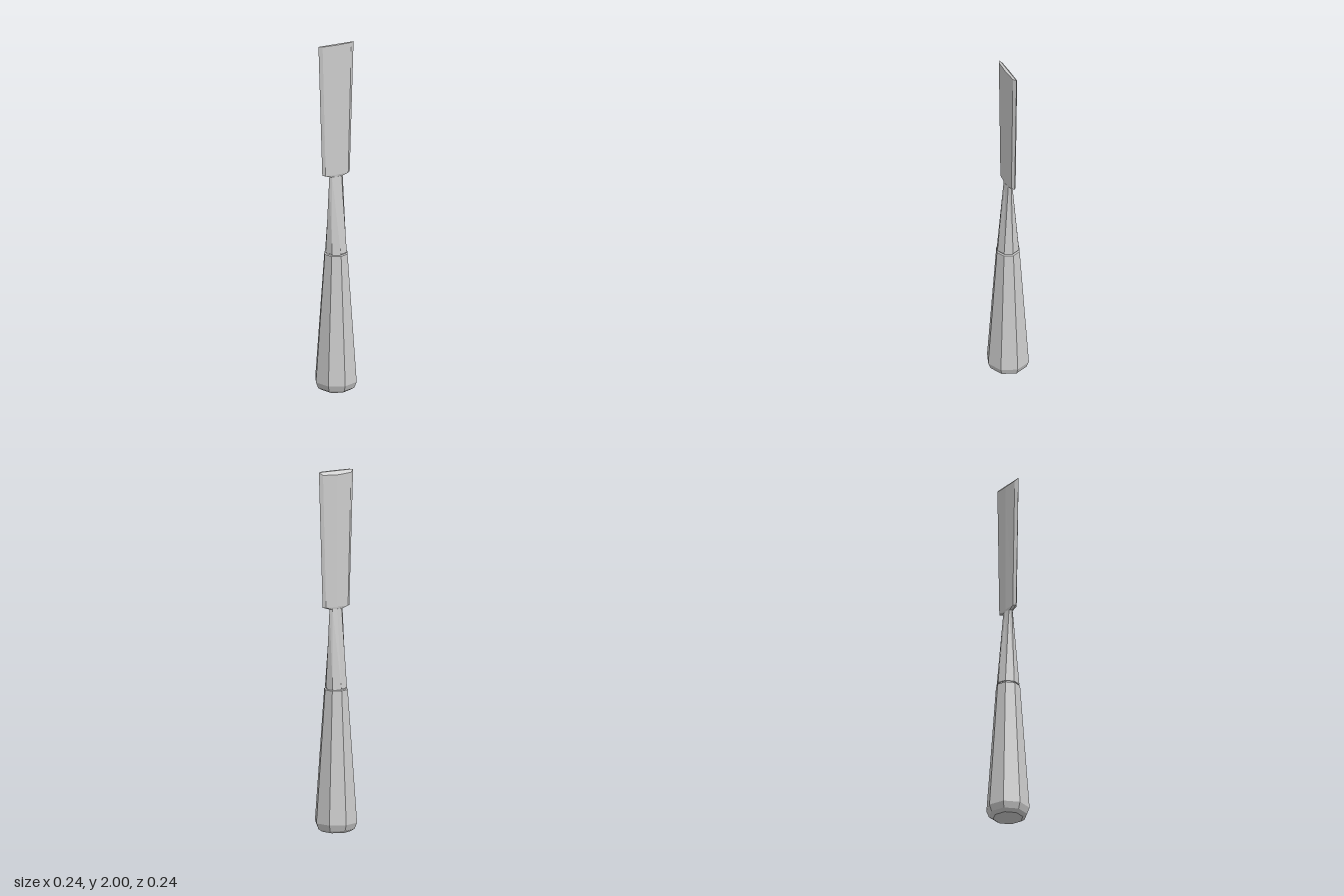
import * as THREE from 'three';

const SIDES = 8;

// Eight-sided loft; each ring is { y, rx, rz, cx, cz, drop }:
// cx and cz place the diagonal corners as a share of the radii, drop lowers the back corners.
function loft(name, rings, material) {
  const pos = [];
  const corners = rings.map(({ y, rx, rz = rx, cx = Math.SQRT1_2, cz = Math.SQRT1_2, drop = 0 }) => {
    const ring = [];
    for (let i = 0; i < SIDES; i++) {
      const a = (i / SIDES) * Math.PI * 2;
      const diagonal = i % 2 === 1;
      const x = diagonal ? Math.sign(Math.cos(a)) * cx : Math.round(Math.cos(a));
      const z = diagonal ? Math.sign(Math.sin(a)) * cz : Math.round(Math.sin(a));
      ring.push([x * rx, y + Math.min(z, 0) * drop, z * rz]);
    }
    return ring;
  });
  const tri = (a, b, c) => pos.push(...a, ...b, ...c);

  // Side walls
  for (let r = 0; r < corners.length - 1; r++) {
    for (let i = 0; i < SIDES; i++) {
      const j = (i + 1) % SIDES;
      const [a, b, c, d] = [corners[r][i], corners[r][j], corners[r + 1][j], corners[r + 1][i]];
      tri(a, c, b);
      tri(a, d, c);
    }
  }
  // End caps
  const last = corners.length - 1;
  const bottom = [0, rings[0].y, 0];
  const top = [0, rings[last].y, 0];
  for (let i = 0; i < SIDES; i++) {
    const j = (i + 1) % SIDES;
    tri(bottom, corners[0][i], corners[0][j]);
    tri(top, corners[last][j], corners[last][i]);
  }

  const geometry = new THREE.BufferGeometry();
  geometry.setAttribute('position', new THREE.Float32BufferAttribute(pos, 3));
  geometry.computeVertexNormals();
  const mesh = new THREE.Mesh(geometry, material);
  mesh.name = name;
  return mesh;
}

export function createModel() {
  const group = new THREE.Group();
  group.name = 'chisel';
  const material = new THREE.MeshStandardMaterial({ color: 0xcccccc, flatShading: true });

  // Tapered handle with a rounded butt and a narrow neck under the socket
  group.add(loft('handle', [
    { y: 0, rx: 0.083 },
    { y: 0.015, rx: 0.106 },
    { y: 0.05, rx: 0.12 },
    { y: 0.787, rx: 0.067 },
    { y: 0.79, rx: 0.057 },
    { y: 0.80, rx: 0.055 },
  ], material));

  // Socket flattening towards the blade
  group.add(loft('socket', [
    { y: 0.797, rx: 0.062, rz: 0.064 },
    { y: 1.235, rx: 0.04, rz: 0.017 },
  ], material));

  // Flat blade with sloped shoulders, widening to a cutting edge bevelled at the back
  const section = { cx: 0.82, cz: 0.75 };
  group.add(loft('blade', [
    { y: 1.232, rx: 0.04, rz: 0.015 },
    { y: 1.246, rx: 0.082, rz: 0.017, ...section },
    { y: 2, rx: 0.105, rz: 0.017, ...section, drop: 0.02 },
  ], material));

  return group;
}
